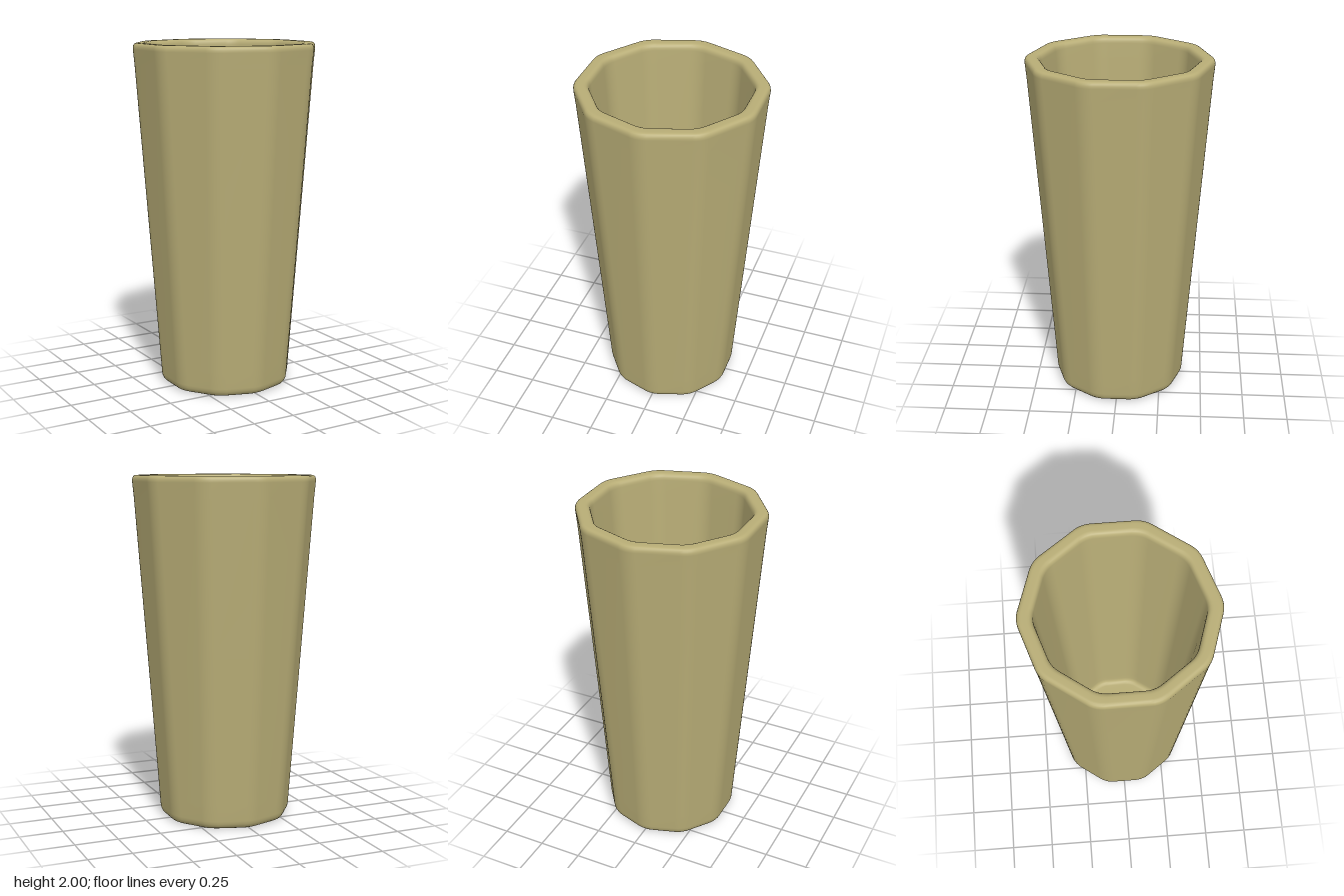
import * as THREE from 'three';

const SIDES = 10;
const ROUND = 0.05; // distance from each corner where its rounding starts
const ARC = 5; // segments per rounded corner

// Rounded decagon with the given apothem, one corner facing +z
function ring(apothem, y) {
  const points = [];
  const R = apothem / Math.cos(Math.PI / SIDES);
  const step = (Math.PI * 2) / SIDES;
  const corner = (i) => new THREE.Vector3(R * Math.sin(i * step), y, R * Math.cos(i * step));
  const d = Math.min(ROUND, apothem * 0.14) / (2 * R * Math.sin(Math.PI / SIDES));
  for (let i = 0; i < SIDES; i++) {
    const c = corner(i);
    const bend = new THREE.QuadraticBezierCurve3(
      c.clone().lerp(corner(i - 1), d), c, c.clone().lerp(corner(i + 1), d));
    points.push(...bend.getPoints(ARC));
  }
  return points;
}

// Skin the loops in order and close both ends with a centre fan
function loft(profile) {
  const positions = [], index = [];
  const n = SIDES * (ARC + 1);
  for (const [a, y] of profile) for (const p of ring(a, y)) positions.push(p.x, p.y, p.z);
  for (let r = 0; r < profile.length - 1; r++) {
    for (let i = 0; i < n; i++) {
      const a = r * n + i, b = r * n + (i + 1) % n;
      index.push(a, b, b + n, a, b + n, a + n);
    }
  }
  const last = profile.length - 1;
  const first = positions.length / 3;
  positions.push(0, profile[0][1], 0, 0, profile[last][1], 0);
  for (let i = 0; i < n; i++) {
    const j = (i + 1) % n;
    index.push(first, j, i, first + 1, last * n + i, last * n + j);
  }
  const geometry = new THREE.BufferGeometry();
  geometry.setAttribute('position', new THREE.Float32BufferAttribute(positions, 3));
  geometry.setIndex(index);
  geometry.computeVertexNormals();
  return geometry;
}

// Points of a rounded profile corner from p to q, bending at c
function fillet(p, c, q, steps = 5) {
  const v = ([x, y]) => new THREE.Vector2(x, y);
  return new THREE.QuadraticBezierCurve(v(p), v(c), v(q)).getPoints(steps).map((k) => [k.x, k.y]);
}

export function createModel() {
  const group = new THREE.Group();
  group.name = 'tumbler';

  // Underside, outer wall, rounded rim, inner wall and floor as [apothem, height]
  const profile = [
    [0.3, 0],
    ...fillet([0.325, 0], [0.368, 0], [0.372, 0.05]),
    [0.379, 0.15], [0.44, 1], [0.503, 1.88],
    ...fillet([0.511, 1.965], [0.513, 2], [0.485, 2]),
    ...fillet([0.46, 2], [0.432, 2], [0.43, 1.965]),
    [0.425, 1.88], [0.372, 1], [0.322, 0.17],
    ...fillet([0.318, 0.12], [0.315, 0.08], [0.285, 0.08]),
    [0.26, 0.08],
  ];
  const cup = new THREE.Mesh(loft(profile), new THREE.MeshStandardMaterial({ color: 0xb8ad76 }));
  cup.name = 'cup';
  group.add(cup);
  return group;
}
